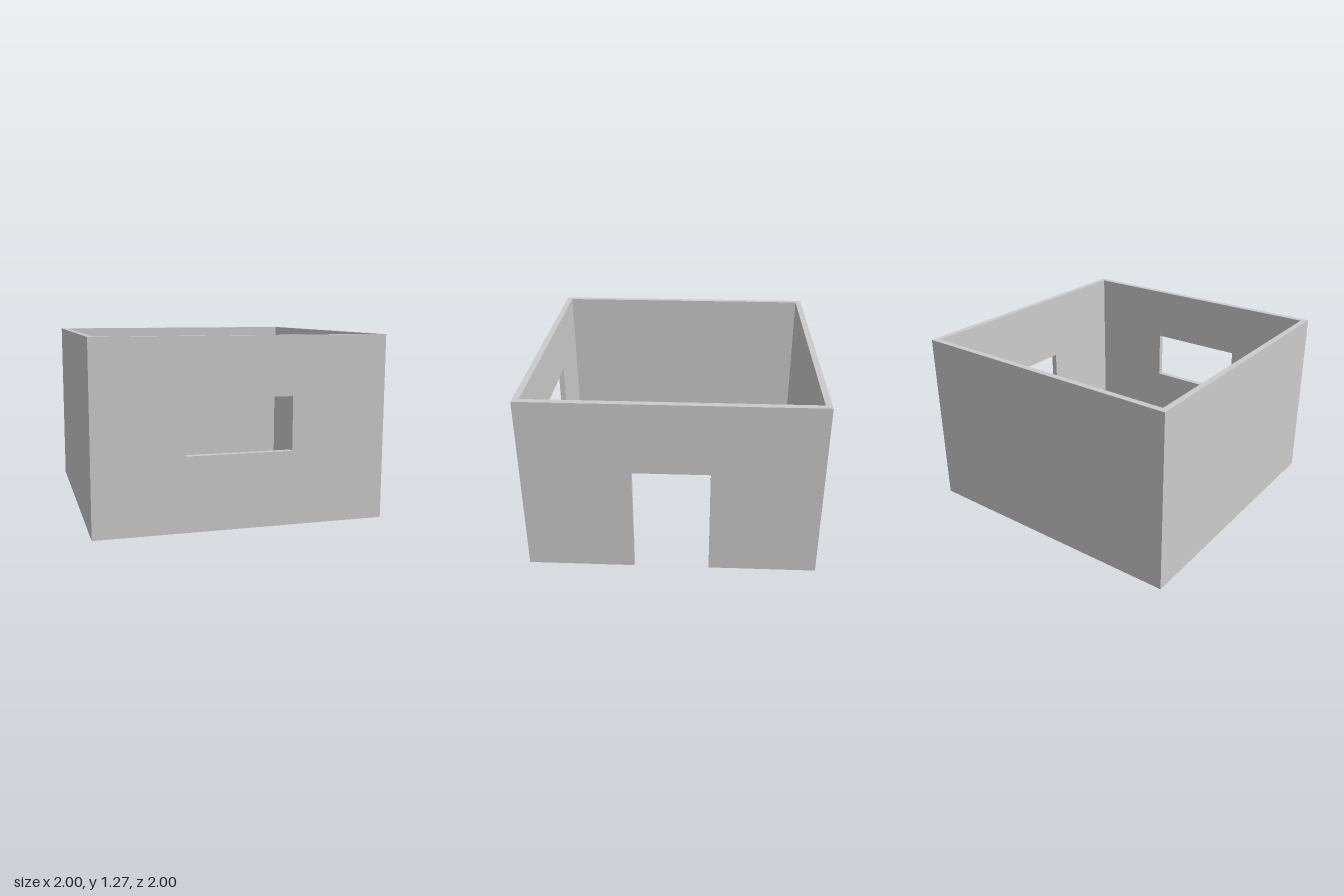
import * as THREE from 'three';

const H = 1.27; // wall height
const T = 0.043; // wall thickness
const INNER = 1 - T; // distance from centre to inner wall face

const material = new THREE.MeshStandardMaterial({ color: 0xcccccc, flatShading: true });

// Closed polygon from corner pairs
const polygon = (corners) => new THREE.Shape(corners.map(([x, y]) => new THREE.Vector2(x, y)));
const rectangle = (x0, y0, x1, y1) => polygon([[x0, y0], [x1, y0], [x1, y1], [x0, y1]]);

// Upright wall: an outline extruded by the wall thickness
function wall(name, shape, x, z, turn = 0) {
  const geometry = new THREE.ExtrudeGeometry(shape, { depth: T, bevelEnabled: false });
  const mesh = new THREE.Mesh(geometry, material);
  mesh.name = name;
  mesh.position.set(x, 0, z);
  mesh.rotation.y = turn;
  return mesh;
}

export function createModel() {
  const room = new THREE.Group();
  room.name = 'room';

  // Front wall with a window opening
  const front = rectangle(-1, 0, 1, H);
  front.holes.push(rectangle(-0.39, 0.505, 0.335, 0.87));

  // Side wall with a doorway cut up from the floor
  const doorHalf = 0.26, doorTop = 0.765;
  const doorSide = polygon([
    [-INNER, 0], [-doorHalf, 0], [-doorHalf, doorTop], [doorHalf, doorTop],
    [doorHalf, 0], [INNER, 0], [INNER, H], [-INNER, H],
  ]);

  room.add(
    wall('windowWall', front, 0, INNER),
    wall('backWall', rectangle(-1, 0, 1, H), 0, -1),
    wall('doorWall', doorSide, INNER, 0, Math.PI / 2),
    wall('plainSideWall', rectangle(-INNER, 0, INNER, H), -1, 0, Math.PI / 2),
  );
  return room;
}
